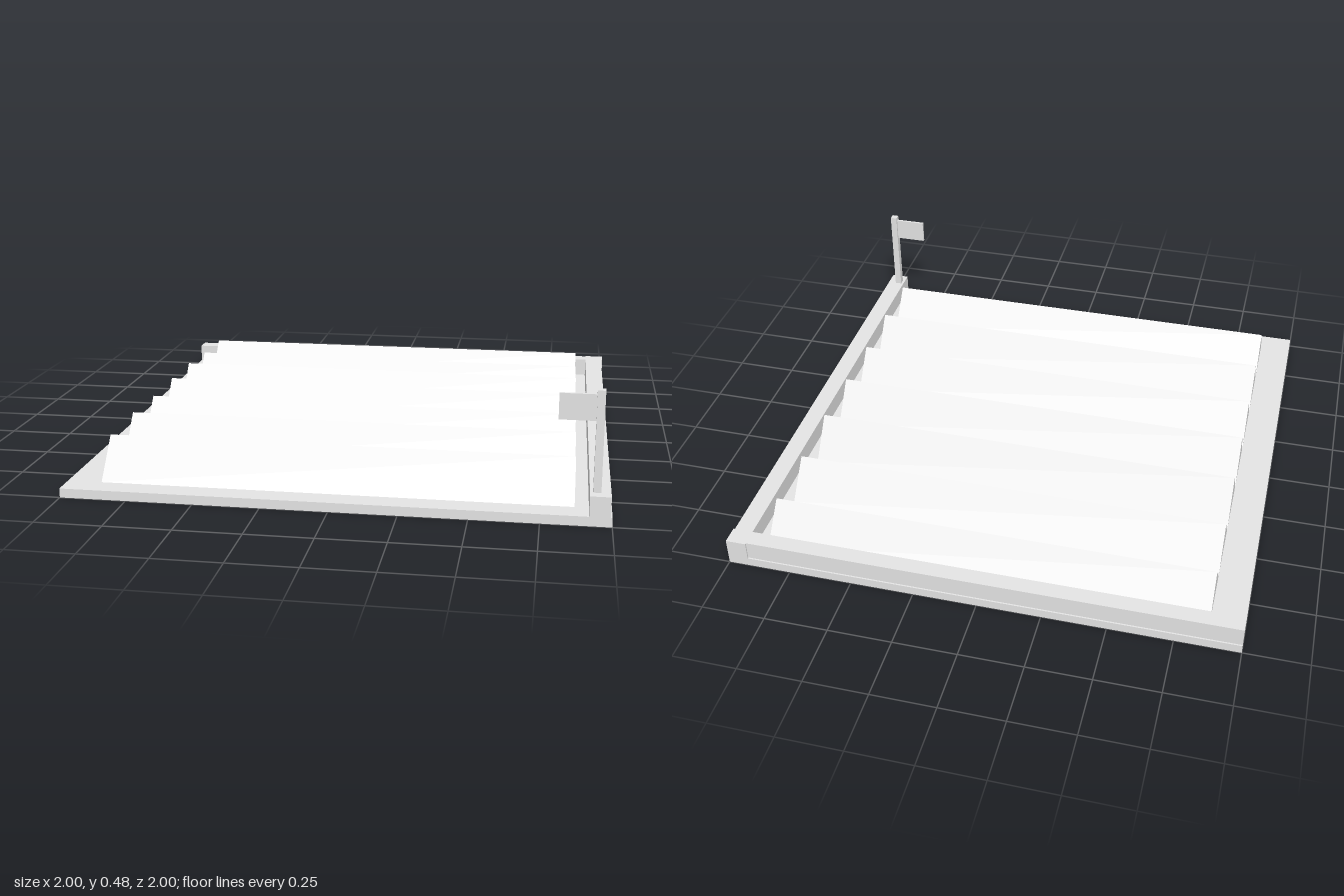
import * as THREE from 'three';

export function createModel() {
  const group = new THREE.Group();
  const grey = new THREE.MeshStandardMaterial({ color: 0xe5e5e5 });
  grey.name = 'lightGrey';

  // box given by its low and high corners
  function box(name, x0, x1, y0, y1, z0, z1, parent = group) {
    const mesh = new THREE.Mesh(new THREE.BoxGeometry(x1 - x0, y1 - y0, z1 - z0), grey);
    mesh.position.set((x0 + x1) / 2, (y0 + y1) / 2, (z0 + z1) / 2);
    mesh.name = name;
    parent.add(mesh);
  }

  // base: a floor plate with a thin skirt and ribs below it
  const base = new THREE.Group();
  base.name = 'base';
  group.add(base);
  const under = 0.026;
  const rim = 0.006;
  box('floorPlate', -1, 1, under, 0.035, -1, 1, base);
  for (const side of [-1, 1]) {
    const edge = side * (1 - rim / 2);
    box('sideSkirt', edge - rim / 2, edge + rim / 2, 0, under, -1, 1, base);
    box('endSkirt', -1 + rim, 1 - rim, 0, under, edge - rim / 2, edge + rim / 2, base);
    box('crossRib', -1 + rim, 1 - rim, 0, under, side * 0.92 - 0.004, side * 0.92 + 0.004, base);
  }
  box('sideRib', 0.916, 0.924, 0, under, -1 + rim, 1 - rim, base);

  // low walls along the back and left edges, meeting at a corner post
  const wallTop = 0.11;
  box('backWall', -1, 0.92, 0.035, wallTop, -0.994, -0.928);
  box('leftWall', 0.92, 0.994, 0.035, wallTop, -0.928, 1);
  box('cornerPost', 0.92, 1, 0.035, wallTop, -1, -0.928);

  // seven triangular ridges of slightly varied height, back to front
  const ridgeTops = [0.175, 0.178, 0.193, 0.193, 0.187, 0.193, 0.183];
  ridgeTops.forEach((top, i) => {
    const profile = new THREE.Shape();
    profile.moveTo(-0.122, 0.035);
    profile.lineTo(0.122, 0.035);
    profile.lineTo(0, top);
    profile.closePath();
    const geometry = new THREE.ExtrudeGeometry(profile, { depth: 1.74, bevelEnabled: false });
    geometry.rotateY(Math.PI / 2);
    const ridge = new THREE.Mesh(geometry, grey);
    ridge.position.set(-0.87, 0, (i - 3) * 0.263);
    ridge.name = 'ridge';
    group.add(ridge);
  });

  // square pole and flag on the front end of the left wall
  const flag = new THREE.Group();
  flag.name = 'flagAndPole';
  group.add(flag);
  box('flagPole', 0.931, 0.959, wallTop, 0.478, 0.932, 0.96, flag);
  box('flag', 0.802, 0.931, 0.367, 0.462, 0.941, 0.951, flag);

  return group;
}
